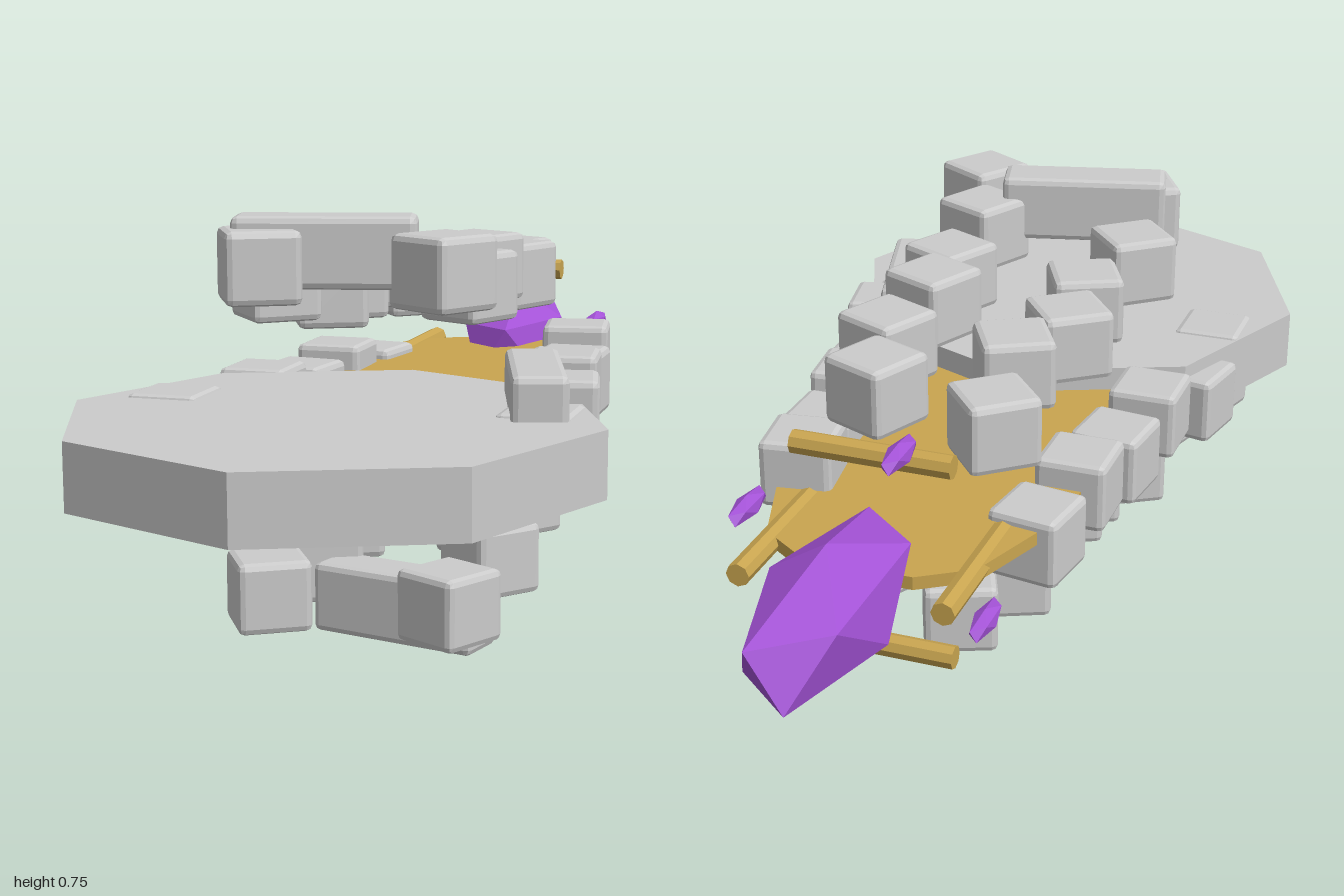
import * as THREE from 'three';
import { RoundedBoxGeometry } from 'three/addons/geometries/RoundedBoxGeometry.js';

const mat = (color) => new THREE.MeshStandardMaterial({ color, flatShading: true });
const grey = mat(0xcccccc), gold = mat(0xc9a550), purple = mat(0xa352d6);
const MID = 0.3725; // height of the long axis

function add(parent, name, geometry, material, x, y, z) {
  const m = new THREE.Mesh(geometry, material);
  m.name = name;
  m.position.set(x, y, z);
  parent.add(m);
  return m;
}

// Chamfered stone block turned about the vertical
function stone(parent, name, [x, y, z, yaw], w = 0.132, h = 0.128, d = 0.132) {
  add(parent, name, new RoundedBoxGeometry(w, h, d, 1, 0.012), grey, x, y - MID, z).rotation.y = yaw;
}

// Long faceted gem lying along z
function gem(parent, name, radius, stretch, x, y, z) {
  const g = new THREE.IcosahedronGeometry(radius, 0);
  g.rotateZ(-0.553);
  g.scale(1, 1, stretch);
  add(parent, name, g, purple, x, y, z);
}

// One half of the parts; the other half is this turned 180 degrees about z
function half() {
  const g = new THREE.Group();

  // Three rows of stones: x, y, z, yaw
  const rows = {
    upperRightStone: [
      [-0.17, 0.66, 0.42, 0.5], [-0.2, 0.61, 0.26, 0.7], [-0.15, 0.58, 0.11, 0.45],
      [-0.17, 0.575, -0.05, 0.65], [-0.12, 0.58, -0.21, 0.5], [-0.14, 0.54, -0.37, 0.7],
    ],
    upperLeftStone: [
      [0.16, 0.66, 0.42, -0.55], [0.11, 0.64, 0.27, -0.45], [0.12, 0.6, 0.11, -0.45],
      [0.09, 0.615, -0.06, -0.42], [0.12, 0.585, -0.21, -0.42], [0.075, 0.575, -0.37, -0.4],
    ],
    sideStone: [
      [0.33, 0.3725, 0.425, 0], [0.33, 0.405, 0.27, 0.2], [0.285, 0.375, 0.11, 0],
      [0.265, 0.395, -0.05, 0.12], [0.245, 0.375, -0.21, 0], [0.22, 0.405, -0.37, 0.15],
    ],
  };
  for (const [name, list] of Object.entries(rows)) for (const s of list) stone(g, name, s);

  // Long lintel stones at the front
  stone(g, 'upperLintel', [-0.07, 0.682, 0.36, 0.25], 0.32, 0.126, 0.1);
  stone(g, 'sideLintel', [0.305, 0.441, 0.36, 0.28], 0.096, 0.128, 0.31);

  // Gold rods around the large crystal
  const rod = new THREE.CylinderGeometry(0.021, 0.021, 0.285, 8);
  add(g, 'upperRod', rod, gold, 0, 0.181, -0.57).rotation.z = Math.PI / 2;
  add(g, 'sideRod', rod, gold, 0.18, 0, -0.58).rotation.x = Math.PI / 2;

  // Small crystals floating beside the rods
  gem(g, 'upperShard', 0.021, 3.3, -0.065, 0.211, -0.612);
  gem(g, 'sideShard', 0.021, 3.3, 0.212, 0.067, -0.612);
  return g;
}

export function createModel() {
  const model = new THREE.Group();
  model.name = 'stoneAndCrystalHead';

  // Eight-sided front slab
  add(model, 'frontSlab', new THREE.CylinderGeometry(0.465, 0.465, 0.115, 8), grey, 0, MID, 0.535);

  // Thin gold plate tapering to the back
  const side = [[0.1, -0.65], [0.19, -0.59], [0.25, -0.42], [0.33, 0.2], [0.28, 0.5]];
  const outline = [...side, ...side.map(([x, z]) => [-x, z]).reverse()]
    .map(([x, z]) => new THREE.Vector2(x, -z));
  const plate = new THREE.ExtrudeGeometry(new THREE.Shape(outline), { depth: 0.024, bevelEnabled: false });
  plate.rotateX(-Math.PI / 2);
  add(model, 'goldPlate', plate, gold, 0, MID - 0.012, 0);

  // Large crystal at the back
  gem(model, 'largeCrystal', 0.1135, 2.5, 0, MID, -0.759);

  // Two matching halves
  ['upperHalf', 'lowerHalf'].forEach((name, i) => {
    const h = half();
    h.name = name;
    h.position.y = MID;
    h.rotation.z = i * Math.PI;
    model.add(h);
  });
  return model;
}
